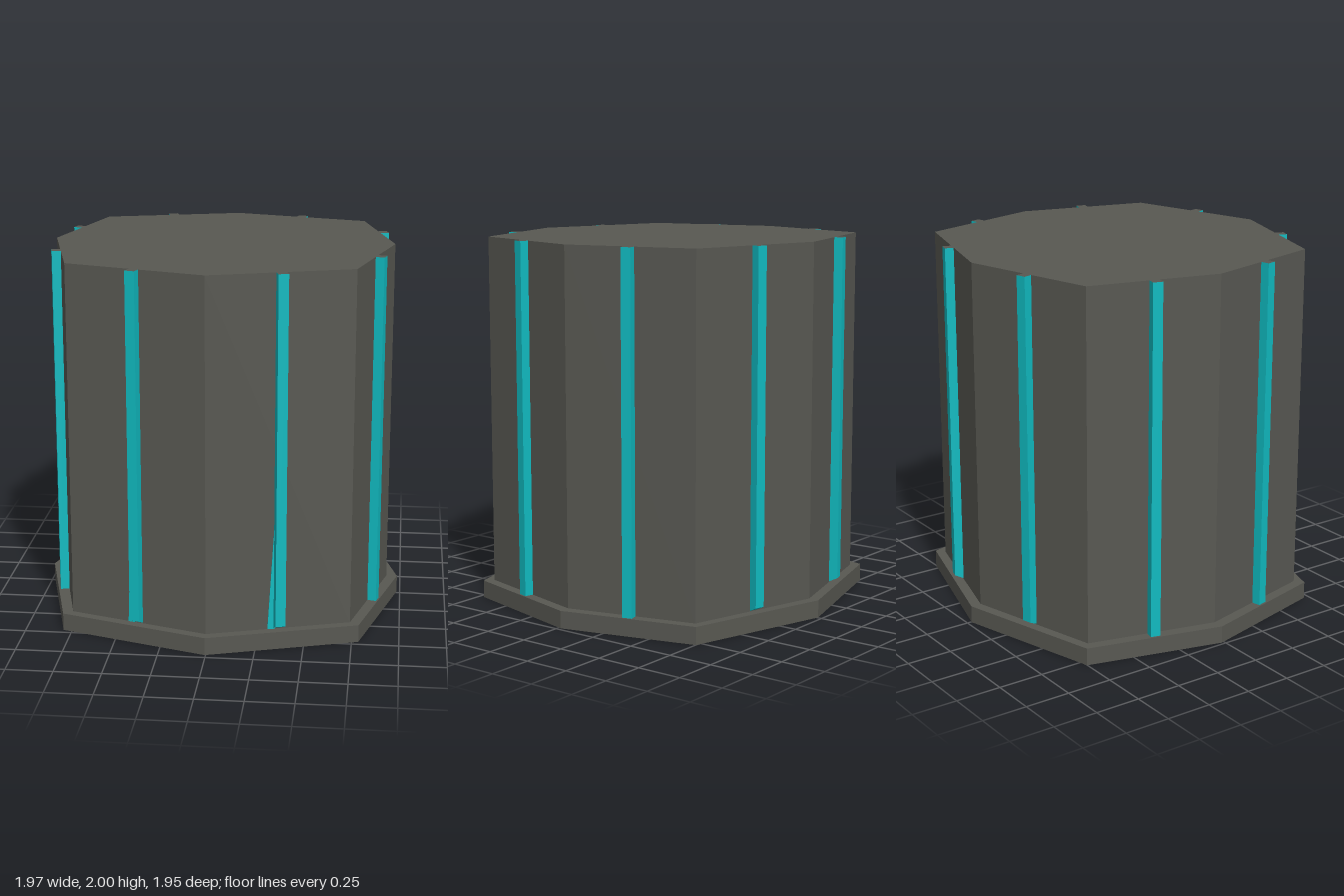
import * as THREE from 'three';

// Octagon corners as [x, z], counter-clockwise from the front tip
const BASE = [[-0.005, 0.97], [0.786, 0.718], [0.982, -0.016], [0.786, -0.752],
  [-0.005, -0.976], [-0.797, -0.752], [-0.986, -0.016], [-0.797, 0.718]];
const BODY = [[-0.005, 0.916], [0.739, 0.681], [0.922, -0.016], [0.739, -0.713],
  [-0.005, -0.918], [-0.749, -0.713], [-0.922, -0.016], [-0.749, 0.681]];
const BASE_TOP = 0.095, TOP = 2;

// Upright prism with the given outline
function prism(name, outline, y0, y1, material) {
  const shape = new THREE.Shape(outline.map(([x, z]) => new THREE.Vector2(x, -z)));
  const geo = new THREE.ExtrudeGeometry(shape, { depth: y1 - y0, bevelEnabled: false });
  geo.rotateX(-Math.PI / 2).translate(0, y0, 0);
  const mesh = new THREE.Mesh(geo, material);
  mesh.name = name;
  return mesh;
}

// Raised strip; the outer bottom edge can be cut upwards
function stripGeometry(cut) {
  const geo = new THREE.BoxGeometry(0.054, TOP - BASE_TOP, 0.056);
  geo.translate(0, (TOP + BASE_TOP) / 2, 0.02);
  const p = geo.attributes.position;
  for (let i = 0; i < p.count; i++) {
    if (p.getY(i) < 1 && p.getZ(i) > 0) p.setY(i, BASE_TOP + cut);
  }
  geo.computeVertexNormals();
  return geo;
}

export function createModel() {
  const grey = new THREE.MeshStandardMaterial({ color: 0x585852 });
  grey.name = 'dark grey';
  const cyan = new THREE.MeshStandardMaterial({ color: 0x10bac0 });
  cyan.name = 'cyan';

  const model = new THREE.Group();
  model.name = 'octagonalColumn';
  model.add(prism('base', BASE, 0, BASE_TOP, grey));
  model.add(prism('body', BODY, BASE_TOP, TOP, grey));

  // One strip in the middle of each wall, with a grey top end
  const flares = { 0: [0.06, 0.65], 7: [0.056, 0.85] };
  BODY.forEach(([x, z], i) => {
    const [x2, z2] = BODY[(i + 1) % 8];
    const wall = new THREE.Group();
    wall.name = 'wallStrip' + (i + 1);
    wall.position.set((x + x2) / 2, 0, (z + z2) / 2);
    wall.rotation.y = Math.atan2(z - z2, x2 - x);

    const facesFrontOrBack = [0, 3, 4, 7].includes(i);
    const strip = new THREE.Mesh(stripGeometry(facesFrontOrBack ? 0.027 : 0),
      [cyan, cyan, grey, cyan, cyan, cyan]);
    strip.name = 'strip';
    wall.add(strip);

    // Thin wedge beside the foot of the front strips
    if (flares[i]) {
      const [w, h] = flares[i];
      const wedge = new THREE.Shape([[-w, BASE_TOP], [-0.02, BASE_TOP], [-0.02, h], [-0.027, h]]
        .map(([a, b]) => new THREE.Vector2(a, b)));
      const flare = new THREE.Mesh(
        new THREE.ExtrudeGeometry(wedge, { depth: 0.003, bevelEnabled: false }), cyan);
      flare.name = 'stripFlare';
      wall.add(flare);
    }
    model.add(wall);
  });
  return model;
}
